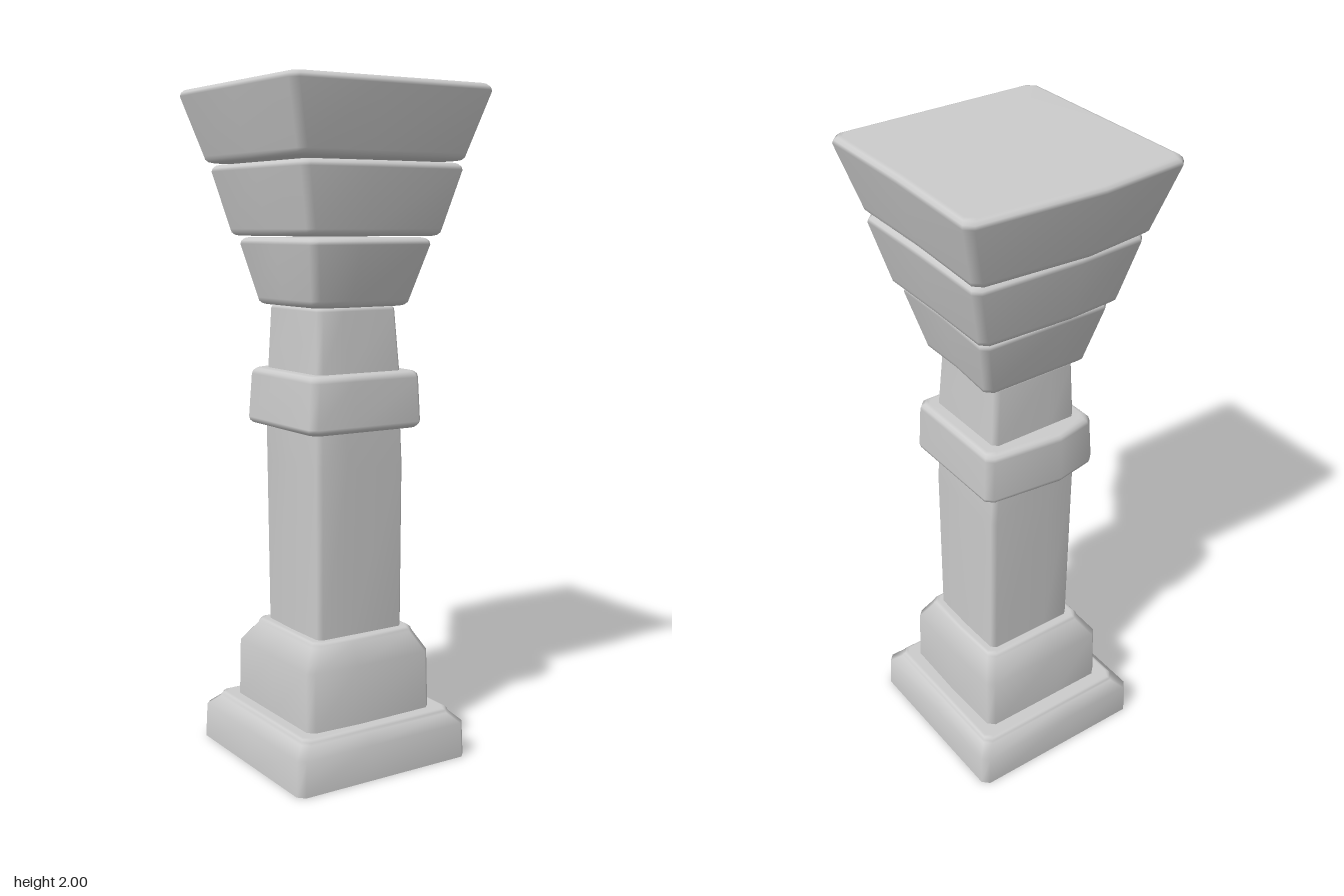
import * as THREE from 'three';

const material = new THREE.MeshStandardMaterial({ color: 0xcccccc });

// One horizontal outline: a chamfered rectangle whose side midpoints may bulge.
// bulge = [right(+x), back(-z), left(-x), front(+z)], corner = push of the +x,-z corner
function outline([y, x0, x1, z0, z1], inset, chamfer, bulge, corner) {
  const c = chamfer;
  const [l, r, b, f] = [x0 + inset, x1 - inset, z0 + inset, z1 - inset];
  const mx = (l + r) / 2 - 0.05, mz = (b + f) / 2;
  return [
    [r - c, f], [r, f - c], [r + bulge[0], mz],
    [r + corner, b + c], [r + corner - c, b], [mx, b - bulge[1]],
    [l + c, b], [l, b + c], [l - bulge[2], mz],
    [l, f - c], [l + c, f], [mx, f + bulge[3]],
  ].map(([x, z]) => [x, y, z]);
}

// A stone block lofted through sections [y, xMin, xMax, zMin, zMax] with rounded ends
function block(name, sections, { bottom = 0.02, top = 0.02, chamfer = 0.02, bulge = [0, 0, 0, 0], corner = 0 } = {}) {
  const rings = [];
  const add = (s, y, inset) => rings.push(outline([y, ...s.slice(1)], inset, chamfer, bulge, corner));
  const first = sections[0], last = sections[sections.length - 1];
  const steps = 3;
  if (bottom === 0) add(first, first[0], 0); // doubled ring keeps a hard edge
  else for (let i = 0; i < steps; i++) {
    const a = (i / steps) * Math.PI / 2;
    add(first, first[0] + bottom * (1 - Math.cos(a)), bottom * (1 - Math.sin(a)));
  }
  sections.forEach((s) => {
    let y = s[0];
    if (s === first) y += bottom;
    if (s === last) y -= top;
    add(s, y, 0);
  });
  for (let i = 1; i <= steps; i++) {
    const a = (i / steps) * Math.PI / 2;
    add(last, last[0] - top * (1 - Math.sin(a)), top * (1 - Math.cos(a)));
  }

  const n = rings[0].length;
  const points = rings.flat();
  const index = [];
  for (let i = 0; i < rings.length - 1; i++) {
    if (bottom === 0 && i === 0) continue;
    for (let j = 0; j < n; j++) {
      const k = (j + 1) % n;
      const a = i * n + j, b = i * n + k;
      index.push(a, b, b + n, a, b + n, a + n);
    }
  }
  // End faces
  const centre = (s) => [(s[1] + s[2]) / 2, s[0], (s[3] + s[4]) / 2];
  const low = points.push(centre(first)) - 1;
  const high = points.push(centre(last)) - 1;
  const end = (rings.length - 1) * n;
  for (let j = 0; j < n; j++) {
    const k = (j + 1) % n;
    index.push(low, k, j, high, end + j, end + k);
  }

  const geometry = new THREE.BufferGeometry();
  geometry.setAttribute('position', new THREE.Float32BufferAttribute(points.flat(), 3));
  geometry.setIndex(index);
  geometry.computeVertexNormals();
  const mesh = new THREE.Mesh(geometry, material);
  mesh.name = name;
  return mesh;
}

export function createModel() {
  const pillar = new THREE.Group();
  pillar.name = 'stonePillar';
  pillar.add(
    // Stepped foot
    block('basePlinth', [
      [0, -0.307, 0.288, -0.288, 0.307],
      [0.105, -0.302, 0.286, -0.286, 0.302],
      [0.15, -0.27, 0.255, -0.255, 0.272],
    ], { bottom: 0, top: 0.015 }),
    block('upperPlinth', [
      [0.14, -0.228, 0.207, -0.206, 0.232],
      [0.325, -0.225, 0.205, -0.203, 0.226],
      [0.4, -0.185, 0.172, -0.16, 0.192],
    ], { bottom: 0.005, top: 0.015, bulge: [0.005, 0, 0, 0.006] }),
    // Shaft with its band
    block('shaft', [
      [0.39, -0.156, 0.143, -0.13, 0.167],
      [0.9, -0.158, 0.143, -0.138, 0.17],
      [1.02, -0.158, 0.137, -0.141, 0.17],
    ], { bottom: 0.005, top: 0.008, chamfer: 0.014, bulge: [0.003, 0, 0.004, 0] }),
    block('collar', [
      [1.01, -0.204, 0.185, -0.174, 0.21],
      [1.18, -0.193, 0.181, -0.174, 0.203],
    ], { bulge: [0, 0.024, 0, 0] }),
    block('neck', [
      [1.17, -0.156, 0.135, -0.134, 0.167],
      [1.37, -0.146, 0.125, -0.131, 0.153],
    ], { bottom: 0.005, top: 0.012, chamfer: 0.015 }),
    // Flaring capital in three courses
    block('lowerCapital', [
      [1.37, -0.18, 0.16, -0.155, 0.185],
      [1.568, -0.215, 0.2, -0.198, 0.232],
    ], { bulge: [0, 0, 0, 0.008], corner: 0.012 }),
    block('middleCapital', [
      [1.572, -0.235, 0.227, -0.222, 0.25],
      [1.78, -0.275, 0.272, -0.262, 0.286],
    ], { bulge: [0, 0.01, 0, 0.008], corner: 0.006 }),
    block('upperCapital', [
      [1.785, -0.292, 0.277, -0.278, 0.298],
      [2, -0.345, 0.33, -0.326, 0.345],
    ], { chamfer: 0.022, bulge: [0, 0.022, 0, 0], corner: 0.012 }),
  );
  return pillar;
}
